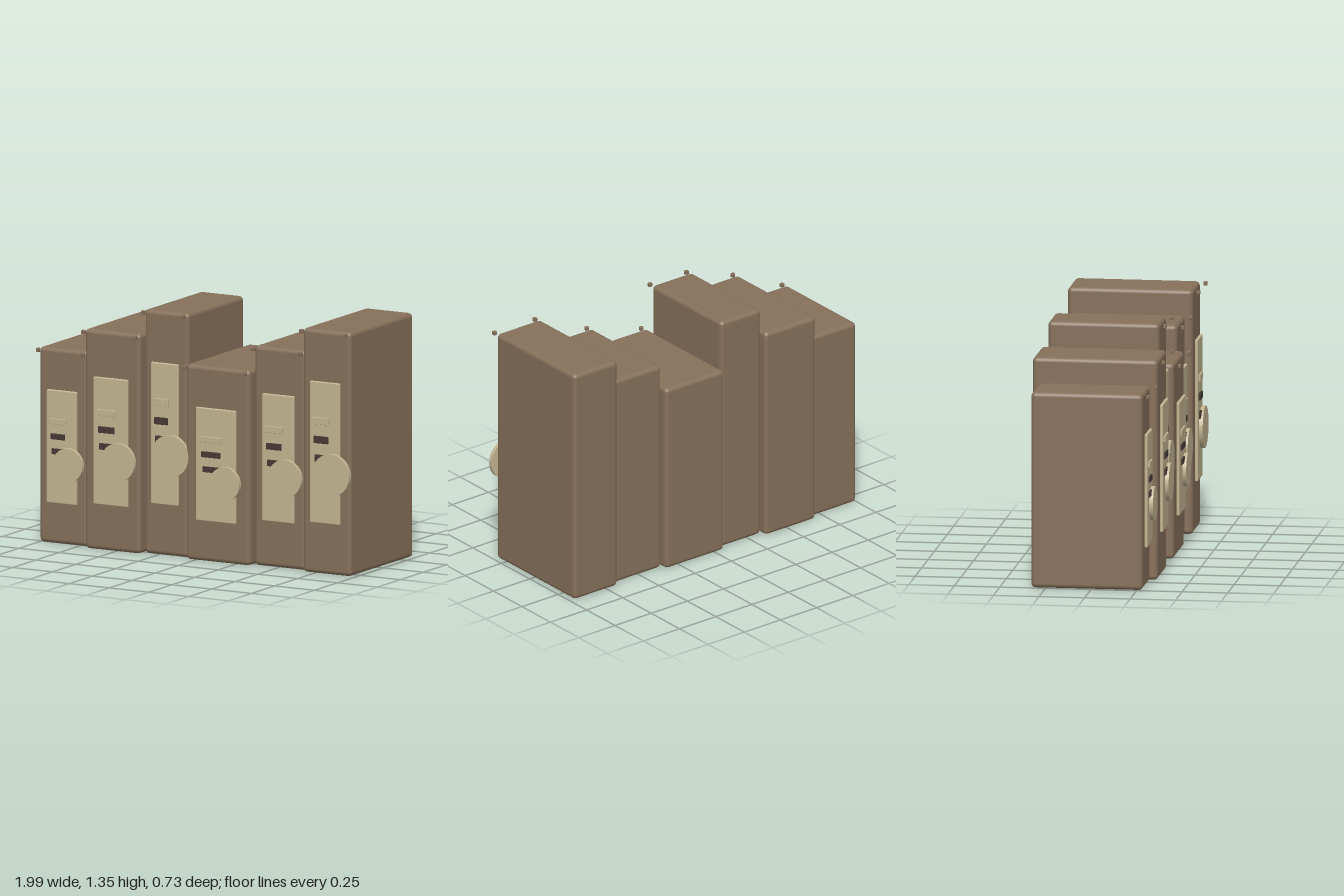
import * as THREE from 'three';
import { RoundedBoxGeometry } from 'three/addons/geometries/RoundedBoxGeometry.js';

const cardboard = new THREE.MeshStandardMaterial({ color: 0x86705a });
cardboard.name = 'brown cardboard';
const paper = new THREE.MeshStandardMaterial({ color: 0xc3b592 });
paper.name = 'cream paper';
const ink = new THREE.MeshStandardMaterial({ color: 0x463934 });
ink.name = 'dark ink';

// Rounded block centred on x, y, z
function block(parent, name, material, [w, h, d], [x, y, z], radius, segments = 2) {
  const mesh = new THREE.Mesh(new RoundedBoxGeometry(w, h, d, segments, radius), material);
  mesh.name = name;
  mesh.position.set(x, y, z);
  parent.add(mesh);
}

// One file box standing on y = 0, with its front face at z = front
function fileBox(w, h, back, front) {
  const g = new THREE.Group();
  g.name = 'fileBox';
  block(g, 'boxBody', cardboard, [w, h, front - back], [0, h / 2, (front + back) / 2], 0.024, 3);

  // Spine label
  block(g, 'spineLabel', paper, [w * 0.62, h * 0.58, 0.018], [0, h / 2, front + 0.012], 0.006);

  // Raised strip and two printed lines
  const lines = [[0.34, 0.63, paper], [0.29, 0.553, ink], [0.25, 0.477, ink]];
  for (const [lw, ly, material] of lines) {
    block(g, material === ink ? 'printedLine' : 'titleStrip', material,
      [w * lw, h * 0.029, 0.012], [-w * 0.065, h * ly, front + 0.025], 0.002, 1);
  }

  // Round pull tab
  const tab = new THREE.Mesh(new THREE.CylinderGeometry(h * 0.0858, h * 0.0858, 0.021, 32), paper);
  tab.name = 'pullTab';
  tab.rotation.x = Math.PI / 2;
  tab.position.set(w * 0.17, h * 0.415, front + 0.032);
  g.add(tab);

  // Small corner studs
  for (const side of [-1, 1]) {
    block(g, 'cornerStud', cardboard, [0.022, 0.022, 0.02],
      [side * (w / 2 - 0.012), h - 0.012, front + 0.03], 0.004, 1);
  }
  return g;
}

export function createModel() {
  const model = new THREE.Group();
  model.name = 'fileBoxRow';
  // Left and right edge of each box; heights cycle by three, depths by two
  const spans = [[-1, -0.697], [-0.692, -0.344], [-0.34, -0.064],
    [-0.059, 0.344], [0.349, 0.671], [0.676, 0.978]];
  const heights = [1.08, 1.215, 1.35];
  spans.forEach(([x0, x1], i) => {
    const deep = i % 2 === 1;
    const box = fileBox(x1 - x0, heights[i % 3], deep ? -0.365 : -0.33, deep ? 0.322 : 0.282);
    box.position.x = (x0 + x1) / 2;
    model.add(box);
  });
  return model;
}
